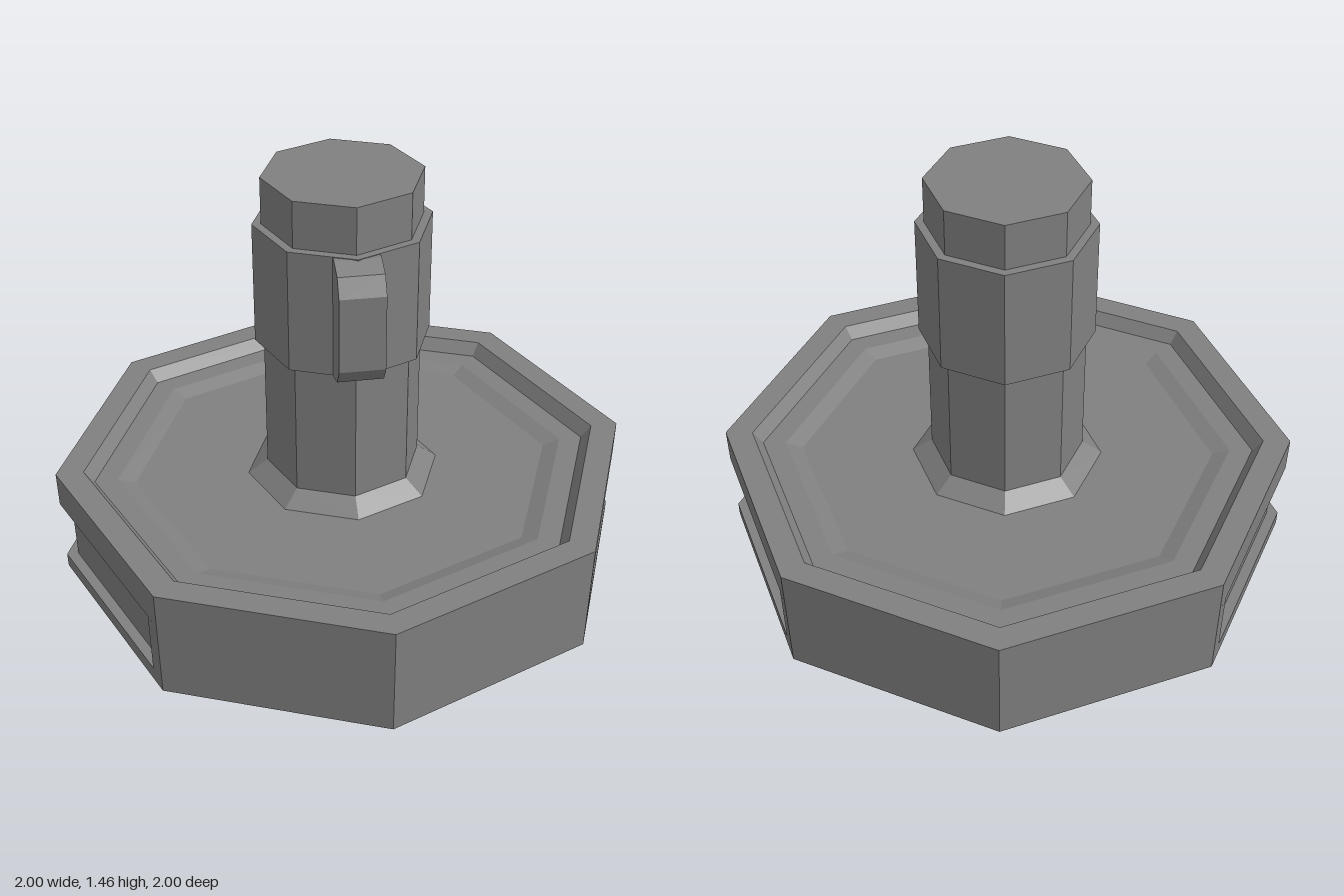
import * as THREE from 'three';

const grey = new THREE.MeshStandardMaterial({ color: 0x808080, flatShading: true });
grey.name = 'grey metal';

function part(name, geometry) {
  const mesh = new THREE.Mesh(geometry, grey);
  mesh.name = name;
  return mesh;
}

// Eight-sided turned part from [radius, height] pairs, listed bottom to top
function octagon(name, profile) {
  const points = profile.map(([r, y]) => new THREE.Vector2(r, y));
  return part(name, new THREE.LatheGeometry(points, 8));
}

const SLOT_LOW = 0.05, SLOT_HIGH = 0.27, TOP = 0.395;
// The base widens slightly towards its top
const baseRadius = (y) => 0.99 + 0.01 * y / TOP;

// Middle of the base: octagon with a shallow slot wrapped round each side corner
function slottedBand() {
  const d = Math.SQRT1_2;
  const half = [[0, -1], [d, -d], [0.731, -0.65], [0.697, -0.636], [0.96, 0],
    [0.697, 0.636], [0.731, 0.65], [d, d]];
  const outline = [...half, ...half.map(([x, y]) => [-x, -y])];
  const shape = new THREE.Shape(outline.map(([x, y]) => new THREE.Vector2(x, y)));
  const geometry = new THREE.ExtrudeGeometry(shape, { depth: SLOT_HIGH - SLOT_LOW, bevelEnabled: false });
  geometry.rotateX(-Math.PI / 2).translate(0, SLOT_LOW, 0);
  const pos = geometry.attributes.position;
  for (let i = 0; i < pos.count; i++) {
    const r = baseRadius(pos.getY(i));
    pos.setX(i, pos.getX(i) * r);
    pos.setZ(i, pos.getZ(i) * r);
  }
  geometry.computeVertexNormals();
  return part('baseSlottedBand', geometry);
}

// Chamfered tab on the front of the collar, drawn as a side profile
function tab() {
  const profile = [[0.2, 0.87], [0.29, 0.87], [0.355, 0.895], [0.39, 0.95],
    [0.39, 1.21], [0.355, 1.27], [0.29, 1.293], [0.2, 1.293]];
  const shape = new THREE.Shape(profile.map(([z, y]) => new THREE.Vector2(z, y)));
  const geometry = new THREE.ExtrudeGeometry(shape, { depth: 0.15, bevelEnabled: false });
  geometry.translate(0, 0, -0.075).rotateY(-Math.PI / 2);
  return part('collarTab', geometry);
}

export function createModel() {
  const model = new THREE.Group();
  model.name = 'octagonalPedestal';

  const base = new THREE.Group();
  base.name = 'base';
  base.add(
    // Hollowed underside and lower lip
    octagon('baseFoot', [[0, 0.03], [0.85, 0.03], [0.94, 0], [0.99, 0],
      [baseRadius(SLOT_LOW), SLOT_LOW], [0.9, SLOT_LOW]]),
    slottedBand(),
    // Upper lip, raised rim and stepped dish
    octagon('baseRim', [[0.9, SLOT_HIGH], [baseRadius(SLOT_HIGH), SLOT_HIGH], [1, TOP],
      [0.905, TOP], [0.87, 0.35], [0.79, 0.35], [0.73, 0.33], [0, 0.33]]),
  );

  const column = new THREE.Group();
  column.name = 'column';
  column.add(
    // Shaft with a flared foot
    octagon('shaft', [[0.335, 0.33], [0.267, 0.38], [0.267, 1.457], [0, 1.457]]),
    octagon('collar', [[0.25, 0.867], [0.297, 0.867], [0.297, 1.295], [0.25, 1.295]]),
    tab(),
  );

  model.add(base, column);
  return model;
}
